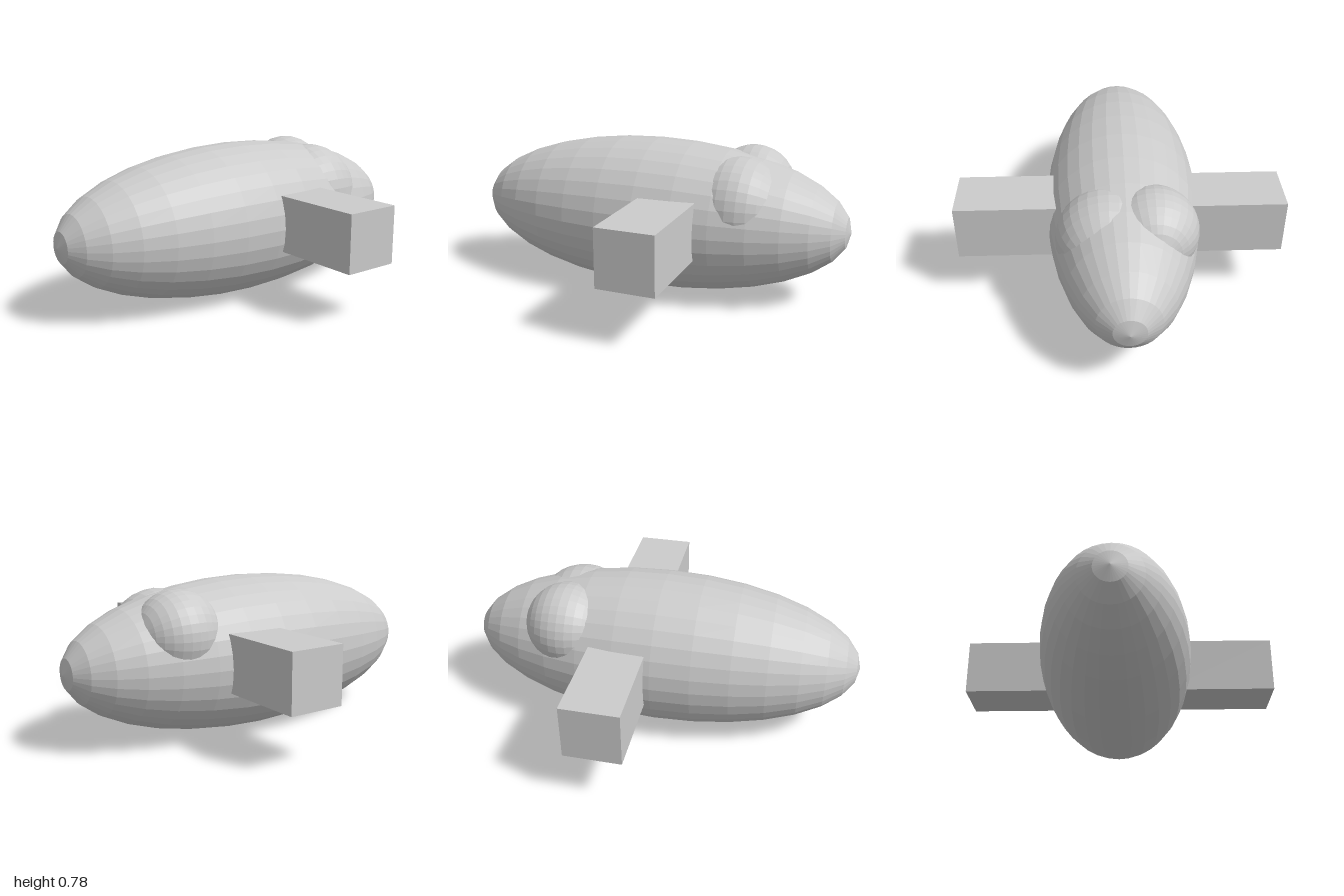
import * as THREE from 'three';

const material = new THREE.MeshStandardMaterial({ color: 0xcccccc, flatShading: true });

function part(name, geometry, x, y, z) {
  const mesh = new THREE.Mesh(geometry, material);
  mesh.name = name;
  mesh.position.set(x, y, z);
  return mesh;
}

// Faceted ball with its poles along z, stretched to the given half length
function ball(radius, halfLength = radius) {
  return new THREE.SphereGeometry(1, 32, 16)
    .rotateX(Math.PI / 2)
    .scale(radius, radius, halfLength);
}

export function createModel() {
  const model = new THREE.Group();
  model.name = 'roundedCraft';

  // Long egg-shaped body
  model.add(part('body', ball(0.388, 1), -0.015, 0.39, 0));

  // Two bulges sunk into the upper rear, the right one standing out further
  model.add(part('rightBulge', ball(0.213), -0.146, 0.541, -0.475));
  model.add(part('leftBulge', ball(0.253), 0.062, 0.482, -0.455));

  // Square block arms on both sides
  for (const [name, side] of [['leftArm', 1], ['rightArm', -1]]) {
    model.add(part(name, new THREE.BoxGeometry(0.56, 0.282, 0.284), side * 0.527, 0.414, -0.172));
  }

  return model;
}
